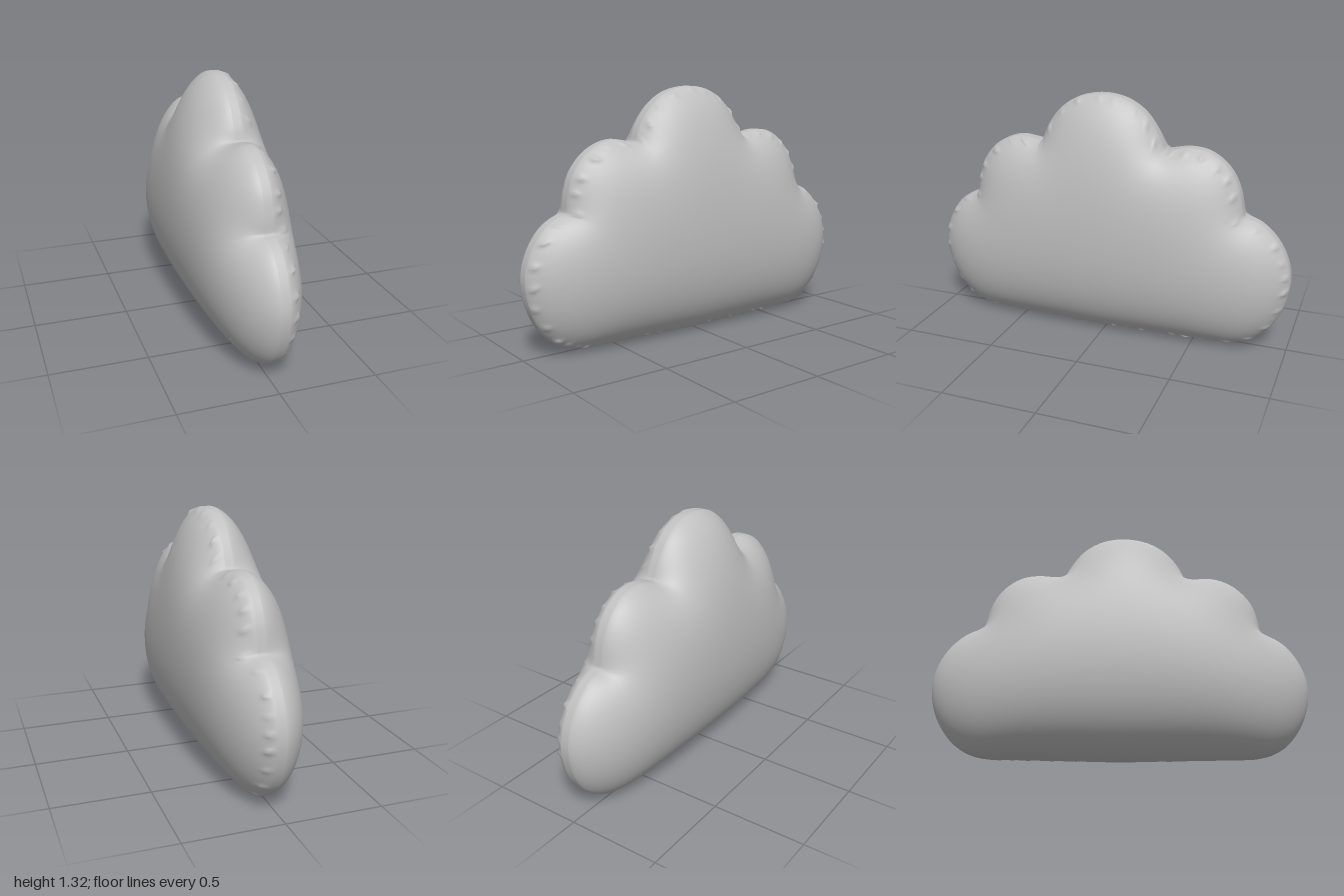
import * as THREE from 'three';

const N = 400, R = 28;          // points around the seam, rings from middle to seam
const CY = 0.45;                // height of the middle point
const DEPTH = 0.267, LIP = 0.042;

// Lobes of the cloud outline as (z, y) points, joined at sharp valleys
const LOBES = [
  [[0, 0.003], [0.3, 0.01], [0.55, 0.015], [0.7, 0.02], [0.8, 0.045], [0.9, 0.12], [0.97, 0.24], [1, 0.4],
    [0.97, 0.53], [0.9, 0.64], [0.83, 0.69], [0.77, 0.71]],
  [[0.77, 0.71], [0.76, 0.8], [0.73, 0.9], [0.66, 0.99], [0.58, 1.04], [0.5, 1.06], [0.42, 1.05], [0.37, 1.04]],
  [[0.37, 1.04], [0.34, 1.12], [0.27, 1.22], [0.17, 1.29], [0.03, 1.32], [-0.1, 1.3], [-0.2, 1.24],
    [-0.27, 1.15], [-0.32, 1.05]],
  [[-0.32, 1.05], [-0.38, 1.065], [-0.45, 1.075], [-0.55, 1.06], [-0.65, 0.99], [-0.71, 0.89], [-0.745, 0.74]],
  [[-0.745, 0.74], [-0.83, 0.71], [-0.92, 0.63], [-0.98, 0.52], [-1, 0.4], [-0.97, 0.25], [-0.9, 0.13],
    [-0.8, 0.05], [-0.7, 0.02], [-0.55, 0.015], [-0.3, 0.01], [0, 0.003]],
];

function makeOutline() {
  const path = new THREE.CurvePath();
  for (const lobe of LOBES) {
    path.add(new THREE.CatmullRomCurve3(lobe.map(([z, y]) => new THREE.Vector3(0, y, z))));
  }
  return path.getSpacedPoints(N).slice(0, N);
}

const ringScale = (k) => Math.sin((k / R) * Math.PI / 2);
const id = (k, j) => (k === 0 ? 0 : 1 + (k - 1) * N + (j % N));

// Flat disc triangles: a fan in the middle, then ring strips
function makeTriangles(rings) {
  const tris = [];
  for (let j = 0; j < N; j++) {
    tris.push([0, id(1, j + 1), id(1, j)]);
    for (let k = 1; k < rings; k++) {
      tris.push([id(k, j), id(k, j + 1), id(k + 1, j)], [id(k, j + 1), id(k + 1, j + 1), id(k + 1, j)]);
    }
  }
  return tris;
}

// Inflate the flat shape: a stretched membrane held at the seam
function inflate(flat, tris) {
  const n = flat.length;
  const links = flat.map(() => new Map());
  const mass = new Float64Array(n), diag = new Float64Array(n), u = new Float64Array(n);
  for (const t of tris) {
    for (let e = 0; e < 3; e++) {
      const a = t[e], b = t[(e + 1) % 3], c = t[(e + 2) % 3];
      const ax = flat[a].z - flat[c].z, ay = flat[a].y - flat[c].y;
      const bx = flat[b].z - flat[c].z, by = flat[b].y - flat[c].y;
      const area2 = Math.abs(ax * by - ay * bx) + 1e-12;
      const w = (ax * bx + ay * by) / area2 / 2;
      links[a].set(b, (links[a].get(b) || 0) + w);
      links[b].set(a, (links[b].get(a) || 0) + w);
      diag[a] += w;
      diag[b] += w;
      mass[c] += area2 / 6;
    }
  }
  const near = links.map((m) => [...m.keys()]);
  const weight = links.map((m) => [...m.values()]);
  const inner = 1 + (R - 1) * N;
  for (let it = 0; it < 4000; it++) {
    for (let i = 0; i < inner; i++) {
      let sum = mass[i];
      for (let q = 0; q < near[i].length; q++) sum += weight[i][q] * u[near[i][q]];
      u[i] += 1.95 * (sum / (diag[i] + 18 * mass[i]) - u[i]);
    }
  }
  let top = 0;
  for (const v of u) top = Math.max(top, v);
  return Array.from(u, (v) => DEPTH * (Math.max(v, 0) / top) ** 0.68);
}

function makeRandom(seed) {
  return () => (seed = (seed * 16807) % 2147483647) / 2147483647;
}

// Puckers beside the seam: closer together along the bottom
function makePuckers(outline) {
  const rand = makeRandom(77), list = [];
  for (let j = 2; j < N;) {
    const low = outline[j].y < 0.06;
    list.push({ j, size: 0.008 + 0.012 * rand(), slant: (rand() - 0.5) * 60, reach: 0.012 + 0.018 * rand() });
    j += Math.round((low ? 4 : 6) + 3 * rand());
  }
  return (j, d) => {
    if (d > 0.08) return 0;
    let sum = 0;
    for (const p of list) {
      const off = ((j - p.j + N * 1.5) % N) - N / 2 - p.slant * (d - 0.02);
      sum += p.size * Math.exp(-off * off) * Math.exp(-(((d - p.reach) / 0.014) ** 2));
    }
    return sum;
  };
}

function buildShell(points, tris, flip) {
  const geo = new THREE.BufferGeometry().setFromPoints(points);
  geo.setIndex(tris.flatMap(([a, b, c]) => (flip ? [a, c, b] : [a, b, c])));
  geo.computeVertexNormals();
  return geo;
}

export function createModel() {
  const group = new THREE.Group();
  group.name = 'cloudCushion';
  const fabric = new THREE.MeshStandardMaterial({ color: 0xc0c0c0 });
  fabric.name = 'grey fabric';

  const outline = makeOutline();
  const flat = [new THREE.Vector3(0, CY, 0)];
  for (let k = 1; k <= R; k++) {
    const s = ringScale(k);
    for (const p of outline) flat.push(new THREE.Vector3(0, CY + (p.y - CY) * s, p.z * s));
  }
  const tris = makeTriangles(R);
  const height = inflate(flat, tris);

  // Smooth half on the right side
  const smooth = flat.map((p, i) => new THREE.Vector3(-height[i], p.y, p.z));

  // Stitched half on the left side: raised lip and puckers next to the seam
  const pucker = makePuckers(outline);
  const stitched = flat.map((p, i) => {
    const x = height[i] + LIP * (1 - height[i] / DEPTH);
    if (i === 0) return new THREE.Vector3(x, p.y, p.z);
    const k = Math.floor((i - 1) / N) + 1, j = (i - 1) % N;
    const d = (1 - ringScale(k)) * Math.hypot(outline[j].z, outline[j].y - CY);
    return new THREE.Vector3(x + pucker(j, d), p.y, p.z);
  });
  for (const p of outline) stitched.push(p.clone());   // narrow wall back to the seam

  const rightHalf = new THREE.Mesh(buildShell(smooth, tris, true), fabric);
  rightHalf.name = 'smoothHalf';
  const leftHalf = new THREE.Mesh(buildShell(stitched, makeTriangles(R + 1), false), fabric);
  leftHalf.name = 'stitchedHalf';
  group.add(rightHalf, leftHalf);
  return group;
}
